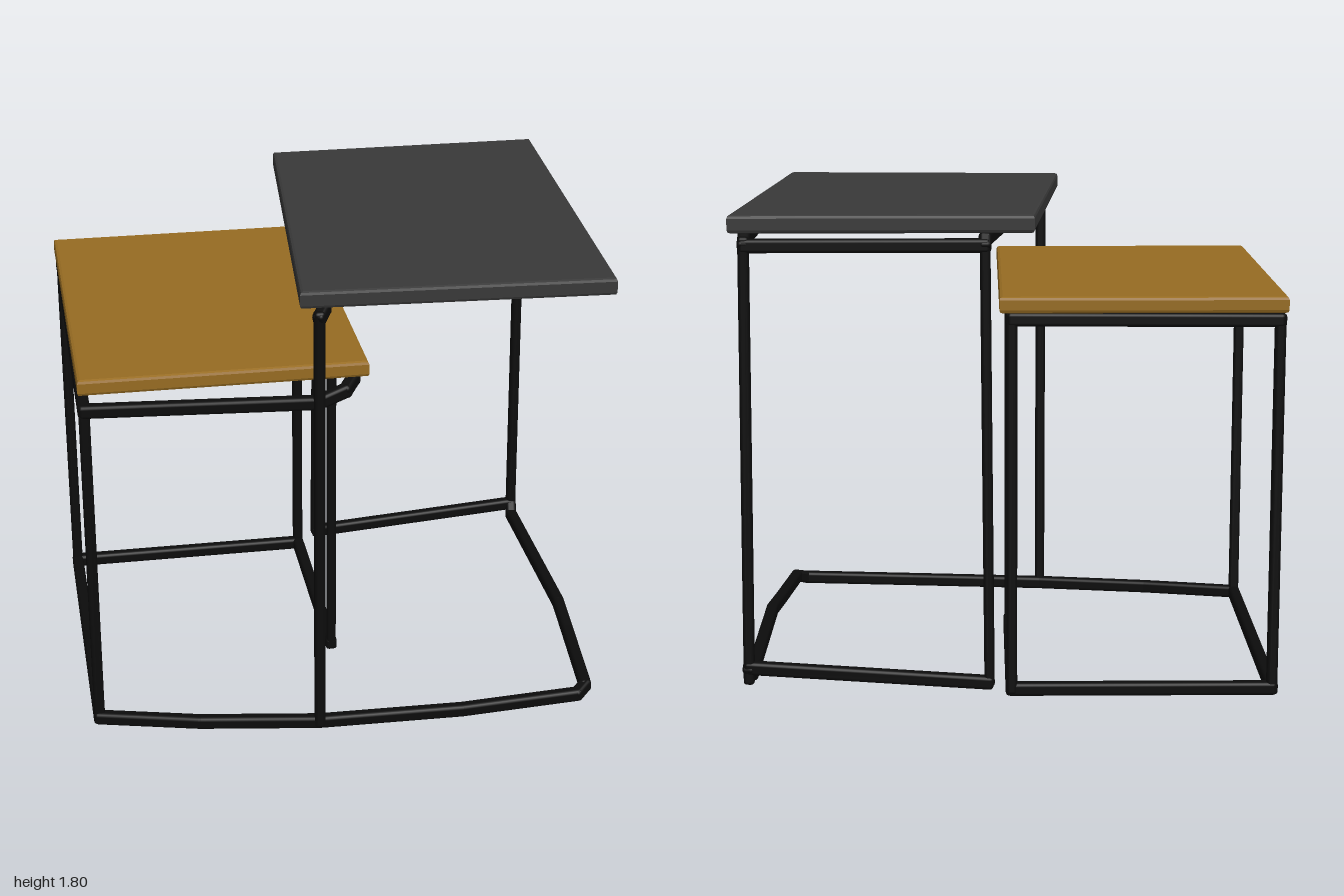
import * as THREE from 'three';
import { RoundedBoxGeometry } from 'three/addons/geometries/RoundedBoxGeometry.js';

const mat = (name, color) => {
  const m = new THREE.MeshStandardMaterial({ color });
  m.name = name;
  return m;
};

export function createModel() {
  const black = mat('black metal', 0x0c0c0c);
  const grey = mat('dark grey', 0x393939);
  const wood = mat('wood', 0x976c22);
  const model = new THREE.Group();

  const add = (parent, name, geometry, material) => {
    const mesh = new THREE.Mesh(geometry, material);
    mesh.name = name;
    parent.add(mesh);
    return mesh;
  };

  // Square bar with softened edges running between two points
  const bar = (parent, name, a, b, w = 0.045, h = w, material = black, extend = 0.036) => {
    const p = new THREE.Vector3(...a), q = new THREE.Vector3(...b);
    const r = Math.min(w, h) * 0.3;
    const mesh = add(parent, name, new RoundedBoxGeometry(w, h, p.distanceTo(q) + extend, 2, r), material);
    mesh.position.copy(p).add(q).multiplyScalar(0.5);
    if (Math.abs(p.y - q.y) > 0.5) mesh.up.set(0, 0, 1);
    mesh.lookAt(q);
    return mesh;
  };

  // Chain of bars through a list of points
  const rail = (parent, name, points, w = 0.045, h = 0.05) => {
    const group = new THREE.Group();
    group.name = name;
    for (let i = 1; i < points.length; i++) bar(group, name + 'Section', points[i - 1], points[i], w, h);
    parent.add(group);
  };

  // Tabletop with softened edges from its corner points (x, z)
  const slab = (parent, name, corners, y0, y1, material) => {
    const bevel = 0.012;
    const cx = corners.reduce((s, c) => s + c[0], 0) / 4;
    const cz = corners.reduce((s, c) => s + c[1], 0) / 4;
    const shape = new THREE.Shape(corners.map(([x, z]) => new THREE.Vector2(
      x - Math.sign(x - cx) * bevel, -(z - Math.sign(z - cz) * bevel))));
    const geometry = new THREE.ExtrudeGeometry(shape, {
      depth: y1 - y0 - 2 * bevel, bevelSize: bevel, bevelThickness: bevel, bevelSegments: 2,
    });
    geometry.rotateX(-Math.PI / 2).translate(0, y0 + bevel, 0);
    add(parent, name, geometry, material);
  };

  // Low table
  const low = new THREE.Group();
  low.name = 'lowTable';
  slab(low, 'woodTop', [[-1, 0.69], [0.035, 0.69], [0.035, -0.74], [-1, -0.74]], 1.44, 1.5, wood);
  bar(low, 'frontOuterLeg', [-0.975, 0.03, 0.547], [-0.975, 1.32, 0.562], 0.04, 0.032);
  bar(low, 'backOuterLeg', [-0.975, 0.03, -0.71], [-0.975, 1.41, -0.7], 0.04);
  bar(low, 'frontInnerLeg', [-0.01, 0.03, 0.155], [-0.01, 1.41, 0.155], 0.036);
  bar(low, 'backInnerLeg', [-0.01, 0.03, -0.715], [-0.01, 1.41, -0.7], 0.04);
  rail(low, 'upperRail', [
    [-0.01, 1.415, -0.7], [-0.01, 1.415, 0.63], [-0.05, 1.395, 0.69], [-0.15, 1.36, 0.7],
    [-0.975, 1.325, 0.56], [-0.975, 1.41, -0.7], [-0.01, 1.415, -0.7]]);
  rail(low, 'baseRail', [
    [-0.01, 0.03, 0.155], [-0.01, 0.03, -0.71], [-0.975, 0.03, -0.71], [-0.975, 0.03, 0.55]]);
  model.add(low);

  // Tall table
  const tall = new THREE.Group();
  tall.name = 'tallTable';
  slab(tall, 'greyTop', [[-0.22, 0.74], [0.9, 0.795], [0.99, -0.8], [-0.09, -0.8]], 1.735, 1.8, grey);
  bar(tall, 'frontLeg', [-0.15, 0.03, 0.72], [-0.15, 1.7, 0.72], 0.04);
  bar(tall, 'backInnerLeg', [0.072, 0.07, -0.74], [0.085, 1.69, -0.74], 0.038);
  bar(tall, 'backOuterLeg', [0.957, 0.08, -0.74], [0.94, 1.7, -0.74], 0.04);
  rail(tall, 'upperRail', [
    [-0.15, 1.69, 0.72], [-0.125, 1.71, 0.68], [0.085, 1.705, -0.72], [0.085, 1.685, -0.74],
    [0.94, 1.685, -0.74], [0.94, 1.71, -0.7], [0.925, 1.71, 0.15]]);

  // Bowed base running from the low table's corner around the open side
  rail(tall, 'baseRail', [
    [-0.975, 0.03, 0.55], [-0.6, 0.027, 0.64], [-0.15, 0.027, 0.71], [0.4, 0.035, 0.735],
    [0.86, 0.05, 0.725], [0.9, 0.065, 0.69], [0.935, 0.08, 0.3], [0.95, 0.095, 0.1],
    [0.95, 0.09, -0.7], [0.957, 0.125, -0.74], [0.075, 0.065, -0.74]]);

  // Grey facing strips on the side rails
  bar(tall, 'innerRailStrip', [-0.06, 1.71, 0.41], [0.06, 1.71, -0.39], 0.008, 0.04, grey, 0);
  bar(tall, 'outerRailStrip', [0.95, 1.71, 0.15], [0.959, 1.71, -0.38], 0.008, 0.04, grey, 0);
  model.add(tall);

  return model;
}
